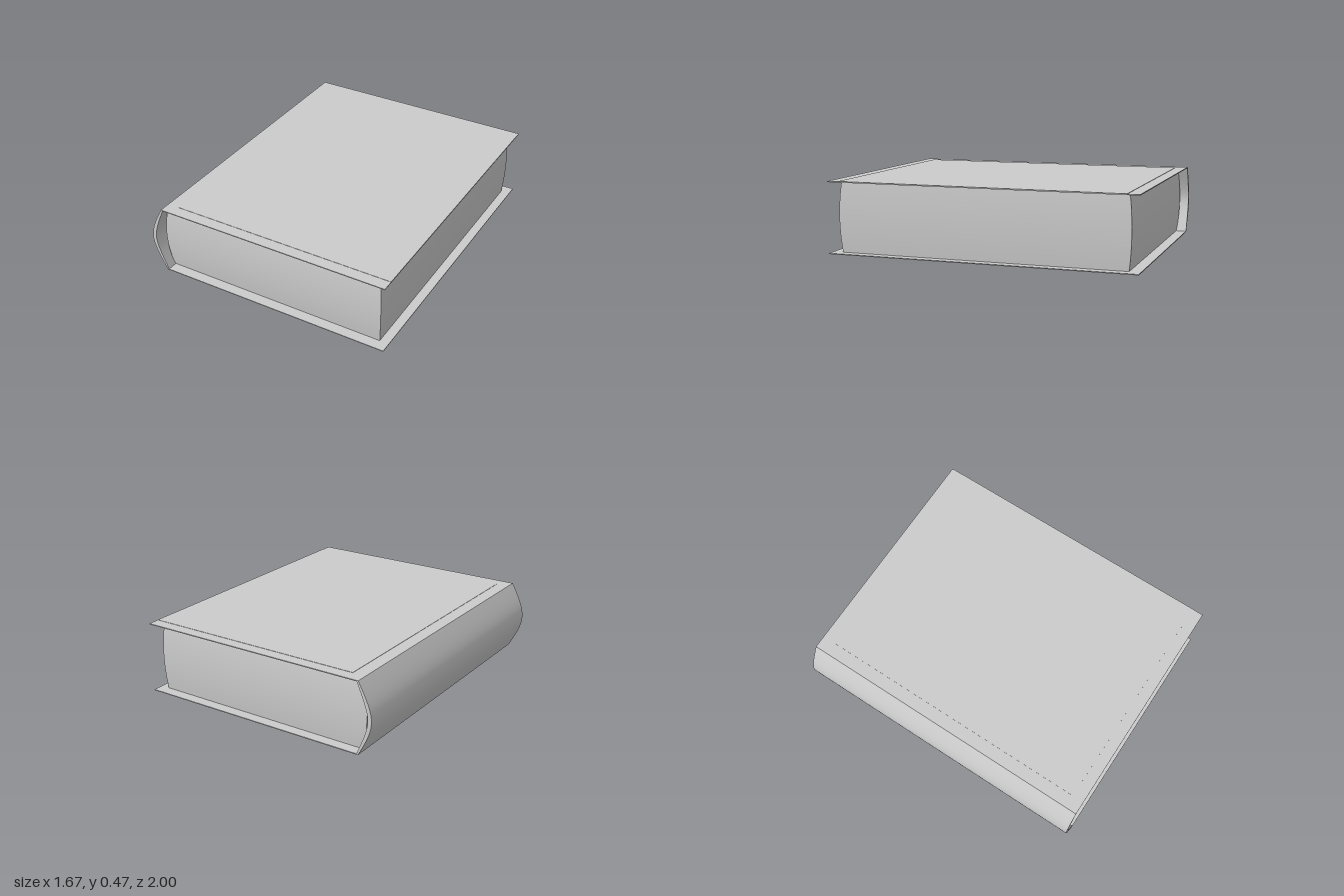
import * as THREE from 'three';
import { toCreasedNormals } from 'three/addons/utils/BufferGeometryUtils.js';

const H = 0.47, MID = H / 2, BOARD = 0.006, LIP = 0.002;

export function createModel() {
  const book = new THREE.Group();
  book.name = 'book';
  const material = new THREE.MeshStandardMaterial({ color: 0xcccccc });

  const add = (name, geometry, parent = book) => {
    const mesh = new THREE.Mesh(geometry, material);
    mesh.name = name;
    parent.add(mesh);
    return mesh;
  };

  // Box given by its x and y limits, centred on z = 0
  const slab = (name, x0, x1, y0, y1, depth, parent) => {
    const mesh = add(name, new THREE.BoxGeometry(x1 - x0, y1 - y0, depth), parent);
    mesh.position.set((x0 + x1) / 2, (y0 + y1) / 2, 0);
  };

  // Thin cover boards, each with a barely raised panel on the outside
  const cover = (name, top, panelEnd) => {
    const group = new THREE.Group();
    group.name = name;
    const y = (d) => (top ? H - d : d);
    const range = (a, b) => [Math.min(y(a), y(b)), Math.max(y(a), y(b))];
    slab(name + 'Board', -0.745, 0.835, ...range(LIP, LIP + BOARD), 2, group);
    slab(name + 'Panel', -0.66, panelEnd, ...range(0, LIP + 0.001), 1.85, group);
    book.add(group);
  };
  cover('topCover', true, 0.835);
  cover('bottomCover', false, 0.765);

  // Rounded spine: a crescent section run along the book's length
  const section = new THREE.Shape();
  section.moveTo(-0.745, H - LIP);
  section.bezierCurveTo(-0.80, 0.37, -0.835, 0.30, -0.835, MID);
  section.bezierCurveTo(-0.835, 0.17, -0.80, 0.10, -0.745, LIP);
  section.lineTo(-0.735, LIP + BOARD);
  section.bezierCurveTo(-0.765, 0.08, -0.81, 0.17, -0.81, MID);
  section.bezierCurveTo(-0.81, 0.30, -0.765, 0.39, -0.735, H - LIP - BOARD);
  section.closePath();
  const spine = new THREE.ExtrudeGeometry(section, {
    depth: 2, bevelEnabled: false, curveSegments: 12,
  });
  spine.translate(0, 0, -1);
  add('spine', toCreasedNormals(spine, 0.5));

  // Page block: its four sides swell gently towards mid-height
  const pageHeight = H - 2 * (LIP + BOARD);
  const pages = new THREE.BoxGeometry(1.515, pageHeight, 1.86, 1, 12, 1);
  pages.translate(0.0175, MID, 0);
  const p = pages.attributes.position;
  for (let i = 0; i < p.count; i++) {
    const t = (p.getY(i) - MID) / (pageHeight / 2);
    const swell = 1 - t * t;
    const x = p.getX(i), z = p.getZ(i);
    p.setX(i, x + swell * (x > 0 ? 0.01 : -0.03));
    p.setZ(i, z + swell * 0.015 * Math.sign(z));
  }
  add('pages', toCreasedNormals(pages, 0.5));

  return book;
}
